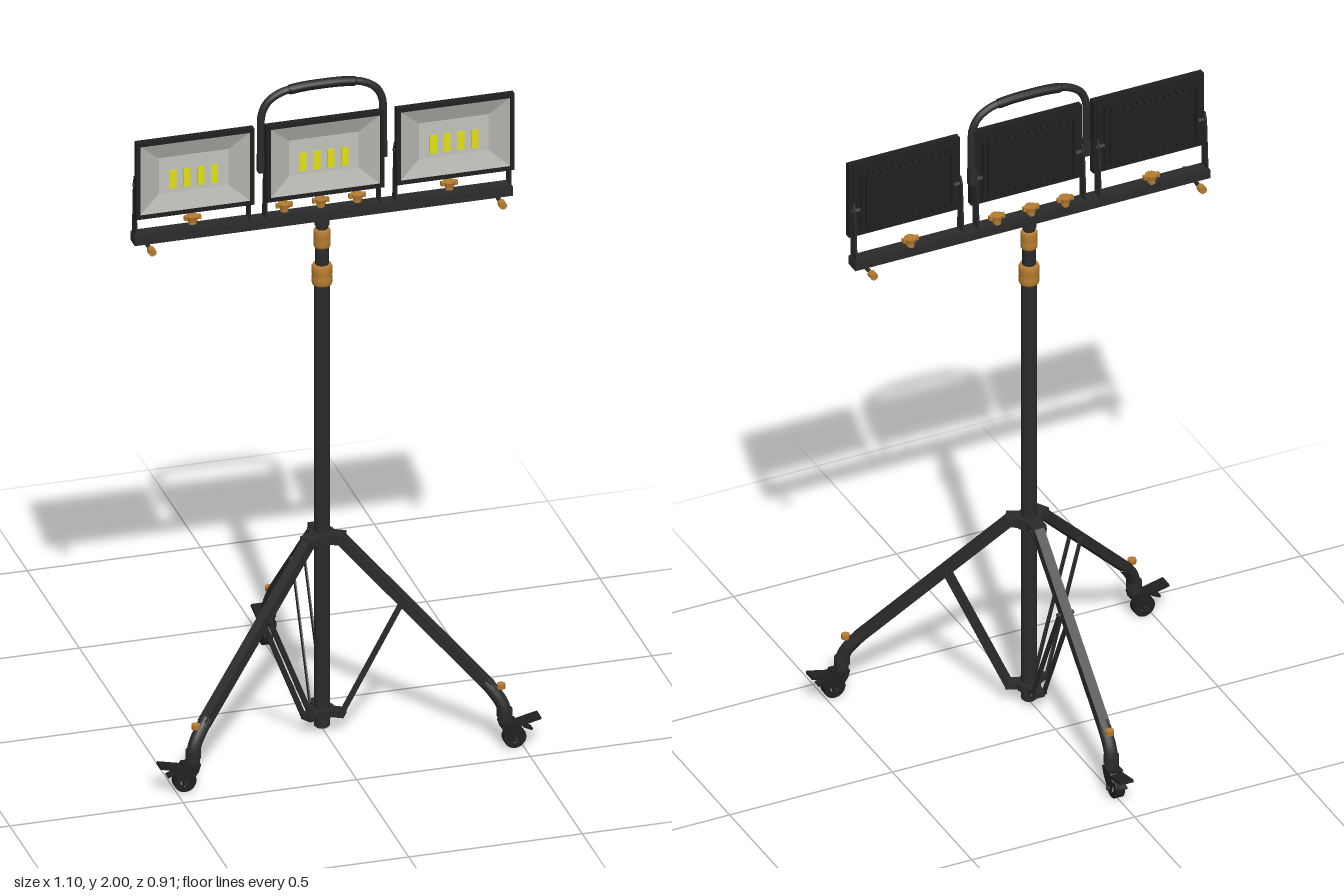
import * as THREE from 'three';

const material = (name, color) => Object.assign(new THREE.MeshStandardMaterial({ color }), { name });
const black = material('black metal', 0x2b2b2b);
const dark = material('dark casting', 0x202021);
const orange = material('orange plastic', 0xb57c30);
const grey = material('reflector grey', 0xb4b2ac);
const pale = material('panel pale grey', 0xc3c2bd);
const yellow = material('diode yellow', 0xe2e010);
const POLE_Z = 0.165;

function add(parent, name, geometry, mat, x = 0, y = 0, z = 0) {
  const mesh = new THREE.Mesh(geometry, mat);
  mesh.name = name;
  mesh.position.set(x, y, z);
  parent.add(mesh);
  return mesh;
}
const box = (w, h, d) => new THREE.BoxGeometry(w, h, d);
const cyl = (r, h, n = 20, r2 = r) => new THREE.CylinderGeometry(r2, r, h, n);
const v = (x, y, z = 0) => new THREE.Vector3(x, y, z);
const lathe = (pts, n = 24) => new THREE.LatheGeometry(pts.map(p => new THREE.Vector2(...p)), n);
const tube = (pts, r, n = 40) =>
  new THREE.TubeGeometry(new THREE.CatmullRomCurve3(pts, false, 'centripetal'), n, r, 12);

// Box laid along a line in the local x-y plane
function strut(parent, name, a, b, w, d, mat) {
  const m = add(parent, name, box(w, a.distanceTo(b), d), mat);
  m.position.copy(a).lerp(b, 0.5);
  m.quaternion.setFromUnitVectors(v(0, 1), b.clone().sub(a).normalize());
  return m;
}

// Four sloping walls between a large front rectangle and a small rear one
function funnel(w, h, w2, h2, depth) {
  const corners = [[-1, -1], [1, -1], [1, 1], [-1, 1]];
  const pos = [];
  corners.forEach((c, i) => {
    const n = corners[(i + 1) % 4];
    const A = [c[0] * w / 2, c[1] * h / 2, 0], B = [n[0] * w / 2, n[1] * h / 2, 0];
    const C = [n[0] * w2 / 2, n[1] * h2 / 2, -depth], D = [c[0] * w2 / 2, c[1] * h2 / 2, -depth];
    pos.push(...A, ...B, ...C, ...A, ...C, ...D);
  });
  const g = new THREE.BufferGeometry();
  g.setAttribute('position', new THREE.Float32BufferAttribute(pos, 3));
  g.computeVertexNormals();
  return g;
}

function rectFrame(w, h, border, depth) {
  const rect = (P, a, b) => new P([[-a, -b], [a, -b], [a, b], [-a, b]].map(p => new THREE.Vector2(...p)));
  const s = rect(THREE.Shape, w / 2, h / 2);
  s.holes.push(rect(THREE.Path, w / 2 - border, h / 2 - border));
  return new THREE.ExtrudeGeometry(s, { depth, bevelEnabled: false });
}

// Wing-headed clamp knob on a short stem
function knob(parent, x, y, z, scale = 1) {
  const g = new THREE.Group();
  g.name = 'clampKnob';
  add(g, 'knobStem', cyl(0.012, 0.016, 14), orange, 0, 0.008);
  add(g, 'knobHead', cyl(0.015, 0.013, 14, 0.018), orange, 0, 0.021);
  add(g, 'knobWing', box(0.048, 0.012, 0.012), orange, 0, 0.022);
  g.position.set(x, y, z);
  g.scale.setScalar(scale);
  parent.add(g);
}

// Floodlight centred on its face
function createLamp(x) {
  const g = new THREE.Group();
  g.name = 'floodlight';
  g.position.set(x, 1.777, 0.18);
  add(g, 'lampFrame', rectFrame(0.34, 0.235, 0.012, 0.02), dark);
  const walls = funnel(0.316, 0.211, 0.2, 0.11, 0.016);
  add(g, 'reflector', walls, grey, 0, 0, 0.017);
  add(g, 'ledPanel', box(0.2, 0.11, 0.002), pale, 0, 0, 0.001);
  for (let i = 0; i < 4; i++)
    add(g, 'diode', box(0.02, 0.056, 0.003), yellow, -0.06 + i * 0.04, -0.014, 0.003);
  // Rear casing and cooling fins
  add(g, 'casing', box(0.318, 0.214, 0.006), dark, 0, 0, -0.003);
  add(g, 'rearHousing', box(0.25, 0.16, 0.016), dark, 0, 0, -0.012);
  for (let i = 0; i < 15; i++)
    add(g, 'coolingFin', box(0.004, 0.185, 0.016), dark, -0.14 + i * 0.02, 0, -0.012);
  // Stirrup
  for (const s of [-1, 1]) {
    const plate = new THREE.Shape([[-0.036, -0.185], [0, -0.185], [-0.003, -0.02], [-0.011, 0],
      [-0.018, 0], [-0.026, -0.02]].map(p => new THREE.Vector2(...p)));
    const geo = new THREE.ExtrudeGeometry(plate, { depth: 0.005, bevelEnabled: false });
    geo.rotateY(-Math.PI / 2);
    add(g, 'stirrupSide', geo, black, s * 0.164 + 0.0025);
    add(g, 'pivotBolt', cyl(0.007, 0.026, 12), black, s * 0.157, -0.025, -0.013).rotation.z = Math.PI / 2;
  }
  add(g, 'stirrupBase', box(0.33, 0.005, 0.034), black, 0, -0.176, -0.018);
  return g;
}

// Caster rolling along local x
function createCaster() {
  const g = new THREE.Group();
  g.name = 'caster';
  add(g, 'swivelCap', cyl(0.02, 0.02), black, 0, 0.088);
  const side = new THREE.Shape([[-0.018, 0.082], [0.03, 0.082], [0.045, 0.06], [0.034, 0.022],
    [0.016, 0.022], [-0.012, 0.06]].map(p => new THREE.Vector2(...p)));
  for (const z of [-0.02, 0.016])
    add(g, 'forkSide', new THREE.ExtrudeGeometry(side, { depth: 0.004, bevelEnabled: false }), dark, 0, 0, z);
  add(g, 'forkTop', box(0.048, 0.006, 0.04), dark, 0.006, 0.08);
  add(g, 'wheel', cyl(0.032, 0.026, 28), dark, 0.025, 0.032).rotation.x = Math.PI / 2;
  add(g, 'wheelHub', cyl(0.014, 0.029, 16), grey, 0.025, 0.032).rotation.x = Math.PI / 2;
  add(g, 'axle', cyl(0.006, 0.054, 10), black, 0.025, 0.032).rotation.x = Math.PI / 2;
  // Brake pedal
  strut(g, 'brakePedal', v(0.028, 0.07), v(0.098, 0.086), 0.008, 0.04, dark);
  strut(g, 'brakeTongue', v(0.05, 0.062), v(0.075, 0.05), 0.006, 0.024, dark);
  return g;
}

// Leg reaching outward along local x
function createLeg(angle, casterTurn) {
  const g = new THREE.Group();
  g.name = 'leg';
  g.rotation.y = angle;
  g.position.z = POLE_Z;
  strut(g, 'legTube', v(0.052, 0.592), v(0.475, 0.185), 0.029, 0.029, black);
  add(g, 'legFoot', tube([v(0.462, 0.197), v(0.485, 0.172), v(0.508, 0.14), v(0.517, 0.115), v(0.519, 0.08)], 0.019, 20), black);
  add(g, 'footCollar', cyl(0.022, 0.022), black, 0.518, 0.108);
  add(g, 'lockStem', cyl(0.005, 0.04, 10), black, 0.503, 0.165);
  add(g, 'lockKnob', cyl(0.012, 0.014, 12), orange, 0.508, 0.188);
  add(g, 'upperLug', box(0.05, 0.028, 0.044), black, 0.04, 0.592);
  add(g, 'lowerLug', box(0.046, 0.018, 0.036), black, 0.042, 0.054);
  // Paired brace strips
  for (const s of [-1, 1])
    strut(g, 'brace', v(0.228, 0.415), v(0.057, 0.054), 0.016, 0.004, black).position.z = s * 0.018;
  for (const [x, y] of [[0.228, 0.415], [0.057, 0.054], [0.056, 0.59]])
    add(g, 'hingeBolt', cyl(0.006, 0.05, 10), black, x, y).rotation.x = Math.PI / 2;
  const caster = createCaster();
  caster.position.x = 0.52;
  caster.rotation.y = casterTurn;
  g.add(caster);
  return g;
}

export function createModel() {
  const model = new THREE.Group();
  model.name = 'workLightTripod';

  // Telescopic pole
  add(model, 'lowerPole', cyl(0.022, 1.38, 28), black, 0, 0.7, POLE_Z);
  add(model, 'middlePole', cyl(0.019, 0.14, 24), black, 0, 1.44, POLE_Z);
  add(model, 'upperPole', cyl(0.016, 0.08, 24), black, 0, 1.54, POLE_Z);
  const collar = (r, h) => lathe([[0, 0], [r * 0.9, 0], [r, h * 0.12], [r, h * 0.4], [r * 0.92, h * 0.46],
    [r, h * 0.54], [r, h * 0.88], [r * 0.88, h], [0, h]]);
  add(model, 'lowerCollar', collar(0.029, 0.062), orange, 0, 1.37, POLE_Z);
  add(model, 'upperCollar', collar(0.024, 0.056), orange, 0, 1.485, POLE_Z);
  add(model, 'upperHub', cyl(0.036, 0.032), black, 0, 0.592, POLE_Z);
  add(model, 'lowerHub', cyl(0.034, 0.022), black, 0, 0.054, POLE_Z);
  add(model, 'poleCap', cyl(0.018, 0.03, 16), dark, 0, 0.021, POLE_Z);

  // Three legs
  model.add(createLeg(Math.PI / 2, 0));
  model.add(createLeg(-Math.PI / 6, Math.PI / 6));
  model.add(createLeg(-Math.PI * 5 / 6, -Math.PI / 6));

  // Crossbar with clamp knobs
  add(model, 'crossbar', box(1.09, 0.027, 0.044), black, 0, 1.586, 0.163);
  add(model, 'barSocket', cyl(0.021, 0.025), black, 0, 1.566, POLE_Z);
  for (const x of [-0.37, -0.105, 0, 0.105, 0.37]) knob(model, x, 1.6, 0.153);
  for (const s of [-1, 1]) {
    add(model, 'endBolt', cyl(0.006, 0.1, 12), black, s * 0.505, 1.565, 0.163).rotation.x = Math.PI / 2;
    for (const z of [0.113, 0.213])
      add(model, 'endKnob', cyl(0.011, 0.022, 14), orange, s * 0.505, 1.565, z).rotation.x = Math.PI / 2;
  }

  // Floodlights
  for (const x of [-0.375, 0, 0.375]) model.add(createLamp(x));

  // Carrying handle
  const half = [v(0.176, 1.78), v(0.176, 1.86), v(0.174, 1.915), v(0.158, 1.95), v(0.13, 1.971), v(0.09, 1.983)];
  const path = [...half.map(p => v(-p.x, p.y)), ...half.slice().reverse()];
  add(model, 'handle', tube(path, 0.011, 70), black, 0, 0, POLE_Z);
  add(model, 'handleGrip', tube([v(-0.09, 1.982), v(-0.05, 1.986), v(0.05, 1.986), v(0.09, 1.982)], 0.014, 16), dark, 0, 0, POLE_Z);
  for (const s of [-1, 1]) {
    add(model, 'gripEnd', new THREE.SphereGeometry(0.014, 12, 10), dark, s * 0.09, 1.982, POLE_Z);
    add(model, 'handleFoot', box(0.02, 0.05, 0.022), black, s * 0.175, 1.765, POLE_Z);
  }
  return model;
}
